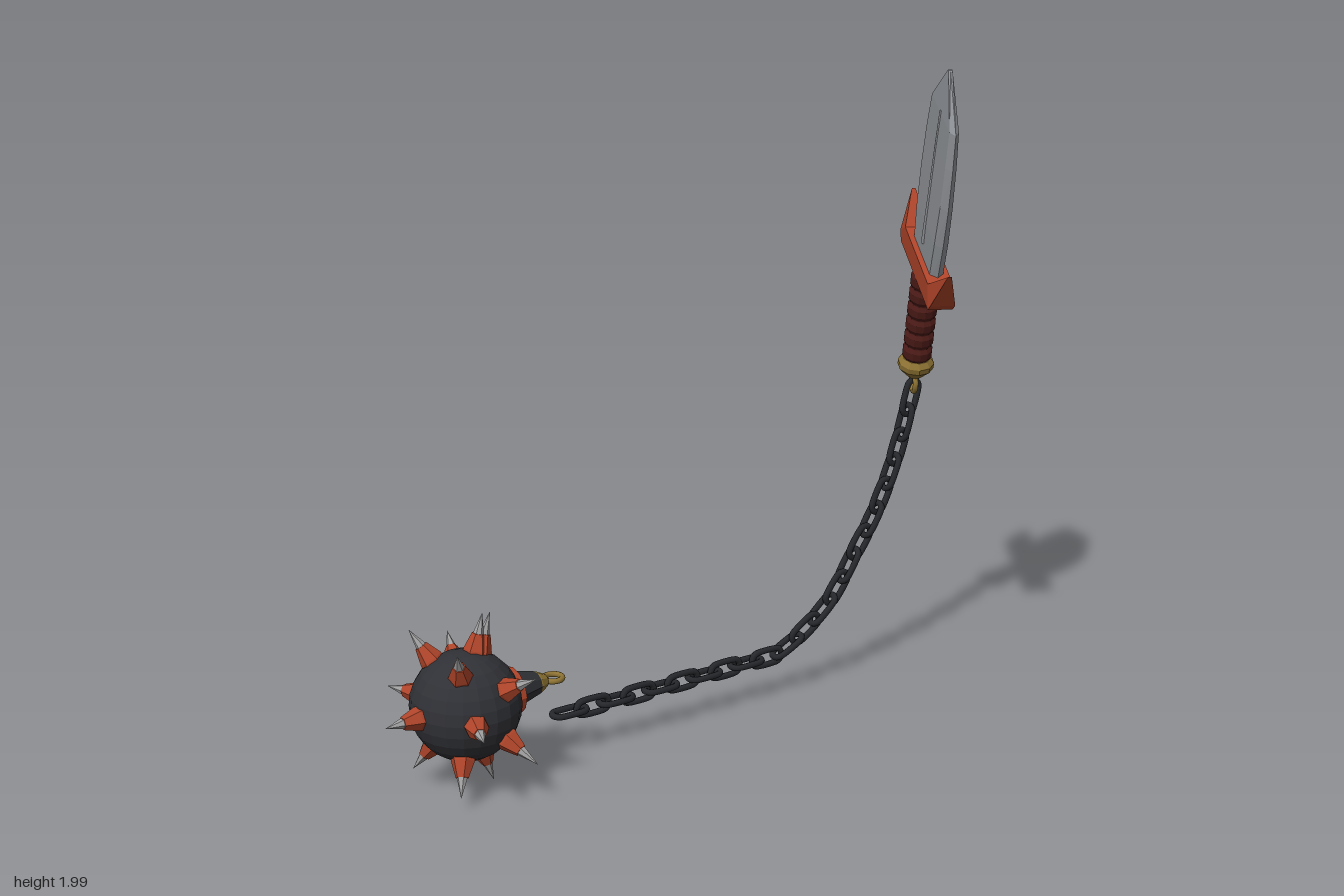
import * as THREE from 'three';

const mat = (color, flat = true) => new THREE.MeshStandardMaterial({ color, flatShading: flat });
const RED = mat(0xb0452a), IRON = mat(0x303136), CHAIN = mat(0x25272b, false), GOLD = mat(0x8f7434);
const GRIP = mat(0x4e1c18), STEEL = mat(0x94979c), TIP = mat(0xa0a0a0), BRASS_RING = mat(0x8f7434, false);
const rad = THREE.MathUtils.degToRad;

function add(parent, name, geometry, material) {
  const mesh = new THREE.Mesh(geometry, material);
  mesh.name = name;
  parent.add(mesh);
  return mesh;
}

// Solid of revolution about y from [radius, height] pairs
const turned = (profile, sides) =>
  new THREE.LatheGeometry(profile.map(([r, y]) => new THREE.Vector2(r, y)), sides);

// Spiked ball; its neck points along local +x
function createBall() {
  const ball = new THREE.Group();
  ball.name = 'spikedBall';
  ball.position.set(-0.6, 0.27, 0.35);
  ball.rotation.y = 0.6435;
  add(ball, 'ballBody', new THREE.SphereGeometry(0.163, 20, 14), IRON);

  const neck = new THREE.Group();
  neck.name = 'neck';
  neck.rotation.z = -Math.PI / 2;
  ball.add(neck);
  add(neck, 'neckCollar', turned([[0, 0.13], [0.072, 0.13], [0.072, 0.165], [0, 0.168]], 12), RED);
  add(neck, 'neckCone', turned([[0.056, 0.16], [0.052, 0.18], [0.036, 0.245], [0, 0.245]], 10), IRON);
  add(neck, 'neckCap', turned([[0, 0.235], [0.036, 0.235], [0.034, 0.25], [0.02, 0.278], [0, 0.278]], 10), GOLD);

  const ring = add(ball, 'ballRing', new THREE.TorusGeometry(0.028, 0.009, 8, 20), BRASS_RING);
  ring.position.x = 0.307;
  ring.rotation.x = Math.PI / 2;

  // Two staggered rings of six spikes, one behind and one beside the top spike
  const tips = [[-0.27, 0, 0], [0.064, 0.265, 0]];
  for (let i = 0; i < 6; i++) {
    const a = rad(60 * i), b = rad(60 * i + 30);
    tips.push([-0.105, 0.25 * Math.sin(a), 0.25 * Math.cos(a)]);
    tips.push([0.09, 0.262 * Math.sin(b), 0.262 * Math.cos(b)]);
  }
  for (const t of tips) {
    const dir = new THREE.Vector3(...t), length = dir.length();
    const spike = new THREE.Group();
    spike.name = 'spike';
    spike.quaternion.setFromUnitVectors(new THREE.Vector3(0, 1, 0), dir.normalize());
    add(spike, 'spikeBase', turned([[0.037, 0.14], [0.035, 0.165], [0.019, 0.213], [0, 0.213]], 6), RED);
    add(spike, 'spikeTip', turned([[0.016, 0.212], [0.0005, length]], 6), TIP);
    ball.add(spike);
  }
  return ball;
}

// Chain of alternating links along a hanging path
function createChain() {
  const chain = new THREE.Group();
  chain.name = 'chain';
  const path = new THREE.CatmullRomCurve3([
    [-0.308, 0.145, 0.13], [-0.1, 0.145, 0], [0.12, 0.145, -0.145], [0.26, 0.145, -0.24], [0.33, 0.147, -0.285],
    [0.41, 0.195, -0.33], [0.508, 0.296, -0.376], [0.587, 0.434, -0.422], [0.65, 0.55, -0.46],
    [0.704, 0.688, -0.492], [0.737, 0.8, -0.515], [0.764, 0.91, -0.536],
  ].map(p => new THREE.Vector3(...p)), false, 'centripetal');

  // Rounded link outline, long along x
  const outline = [], half = 0.033, r = 0.023;
  for (let i = 0; i < 14; i++) {
    const a = -Math.PI / 2 + Math.PI * (i % 7) / 6 + (i < 7 ? 0 : Math.PI);
    outline.push(new THREE.Vector3((i < 7 ? half : -half) + r * Math.cos(a), r * Math.sin(a), 0));
  }
  const link = new THREE.TubeGeometry(new THREE.CatmullRomCurve3(outline, true), 36, 0.01, 8, true);

  const side = new THREE.Vector3(0.55, 0, 0.835).normalize();
  const count = 22;
  for (let i = 0; i < count; i++) {
    const u = i / (count - 1);
    const along = path.getTangentAt(u);
    const across = side.clone().addScaledVector(along, -side.dot(along)).normalize();
    const normal = along.clone().cross(across);
    const mesh = add(chain, 'chainLink', link, CHAIN);
    const basis = new THREE.Matrix4();
    if (i % 2) basis.makeBasis(along, normal, across.negate());
    else basis.makeBasis(along, across, normal);
    mesh.quaternion.setFromRotationMatrix(basis);
    mesh.position.copy(path.getPointAt(u));
  }
  return chain;
}

// Blade lofted from bevelled sections [height, half width, half thickness]
function bladeGeometry() {
  const stations = [[0.43, 0.128, 0.021], [0.58, 0.15, 0.021], [0.71, 0.159, 0.019],
    [0.84, 0.154, 0.017], [0.952, 0.142, 0.014], [1.091, 0.003, 0.006]];
  const section = [[1, 0], [0.84, 1], [-0.84, 1], [-1, 0], [-0.84, -1], [0.84, -1]];
  const n = section.length, pos = [], index = [];
  for (const [y, w, t] of stations) for (const [z, x] of section) pos.push(x * t, y, z * w);
  for (let i = 0; i < stations.length - 1; i++) {
    for (let j = 0; j < n; j++) {
      const a = i * n + j, b = i * n + (j + 1) % n;
      index.push(a, b, b + n, a, b + n, a + n);
    }
  }
  const top = (stations.length - 1) * n;
  for (let j = 1; j < n - 1; j++) index.push(top, top + j, top + j + 1, 0, j + 1, j);
  const g = new THREE.BufferGeometry();
  g.setAttribute('position', new THREE.Float32BufferAttribute(pos, 3));
  g.setIndex(index);
  const flat = g.toNonIndexed();
  flat.computeVertexNormals();
  return flat;
}

// Crossguard with horns that narrow to points
function guardGeometry() {
  const right = [[0.2, 0.398], [0.222, 0.425], [0.26, 0.55], [0.165, 0.468]];
  const left = right.map(([x, y]) => [-x, y]).reverse();
  const shape = new THREE.Shape([...right, ...left].map(([x, y]) => new THREE.Vector2(x, y)));
  const g = new THREE.ExtrudeGeometry(shape, { depth: 0.076, bevelEnabled: false });
  g.translate(0, 0, -0.038).rotateY(-Math.PI / 2);
  const p = g.attributes.position;
  for (let i = 0; i < p.count; i++) if (p.getY(i) > 0.5) p.setX(i, p.getX(i) * 0.15);
  g.computeVertexNormals();
  return g;
}

// Short sword, built upright from its ring, then leaned and turned
function createSword() {
  const sword = new THREE.Group();
  sword.name = 'sword';
  sword.position.set(0.773, 0.958, -0.54);
  sword.rotation.set(rad(18), rad(6), 0, 'YXZ');

  add(sword, 'swordRing', new THREE.TorusGeometry(0.029, 0.009, 8, 20), BRASS_RING).rotation.y = Math.PI / 2;
  add(sword, 'pommel', turned([[0, 0.026], [0.022, 0.026], [0.056, 0.062], [0.057, 0.08], [0.044, 0.098], [0, 0.1]], 10), GOLD);

  // Wrapped grip with raised bands
  const profile = [[0.036, 0.09]], bands = 6, step = 0.052;
  for (let i = 0; i < bands; i++) {
    const y = 0.095 + i * step;
    profile.push([0.04, y], [0.047, y + 0.013], [0.047, y + 0.036], [0.04, y + 0.049]);
  }
  add(sword, 'grip', turned(profile, 12), GRIP);

  add(sword, 'crossguard', guardGeometry(), RED);
  add(sword, 'blade', bladeGeometry(), STEEL);

  // Slim central ridge on each face
  for (const s of [1, -1]) {
    const ridge = add(sword, 'bladeRidge', new THREE.CylinderGeometry(0.004, 0.009, 0.45, 4), STEEL);
    ridge.position.set(s * 0.0165, 0.735, 0);
    ridge.rotation.z = s * 0.012;
  }
  return sword;
}

export function createModel() {
  const model = new THREE.Group();
  model.name = 'chainedSwordAndBall';
  model.add(createBall(), createChain(), createSword());
  return model;
}
